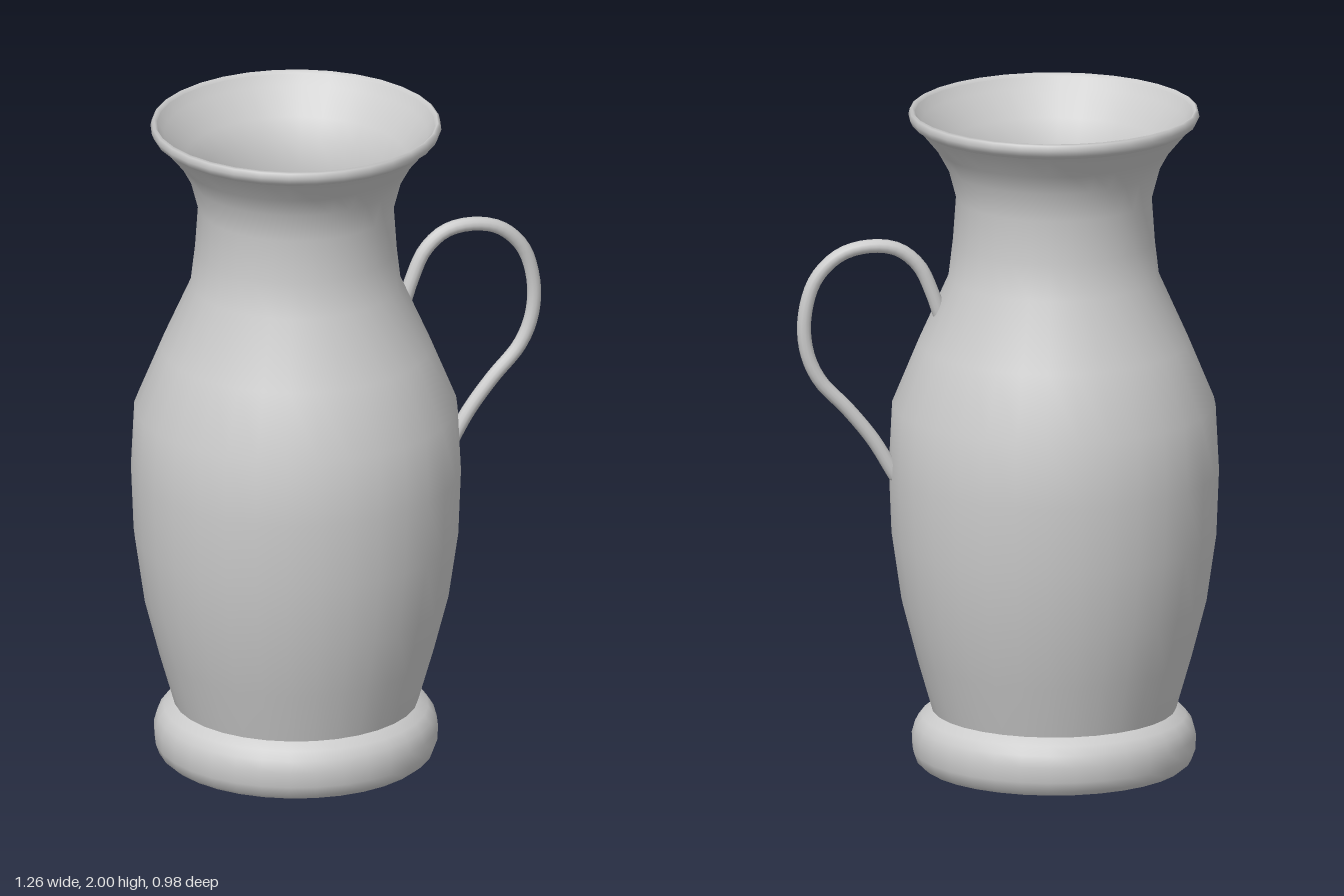
import * as THREE from 'three';

const AXIS_X = -0.142;
const SIDES = 32;
const material = new THREE.MeshStandardMaterial({ color: 0xcccccc });

// Surface of revolution about the jug's axis; profile is [radius, height] pairs
function turned(name, profile) {
  const points = profile.map(([r, y]) => new THREE.Vector2(r, y));
  const mesh = new THREE.Mesh(new THREE.LatheGeometry(points, SIDES), material);
  mesh.name = name;
  mesh.position.x = AXIS_X;
  return mesh;
}

export function createModel() {
  const group = new THREE.Group();
  group.name = 'jug';

  // Outer wall from the foot to the flared mouth
  const wall = [
    [0.362, 0.17], [0.408, 0.33], [0.452, 0.5], [0.481, 0.7], [0.489, 0.9], [0.479, 1.1],
    [0.401, 1.29], [0.312, 1.49], [0.299, 1.6], [0.29, 1.73], [0.314, 1.82],
    [0.347, 1.88], [0.405, 1.95],
  ];
  group.add(turned('outerWall', wall));

  // Rounded foot ring and flat underside
  group.add(turned('footRing', [
    [0.39, 0], [0.408, 0.015], [0.419, 0.045], [0.421, 0.09], [0.411, 0.125], [0.392, 0.15], [0.362, 0.17],
  ]));
  group.add(turned('underside', [[0, 0], [0.39, 0]]));

  // Rolled lip
  group.add(turned('lip', [
    [0.405, 1.95], [0.423, 1.962], [0.431, 1.98], [0.427, 1.996], [0.42, 2], [0.412, 1.99],
  ]));

  // Inner wall follows the outer one, then a flat floor
  const inner = wall.slice(0, -1).reverse().map(([r, y]) => [r - 0.018, y + 0.005]);
  group.add(turned('innerWall', [[0.412, 1.99], [0.392, 1.96], ...inner]));
  group.add(turned('floor', [[0.344, 0.175], [0, 0.175]]));

  // Looped handle on the left side
  const path = new THREE.CatmullRomCurve3([
    [0.2, 1.385], [0.222, 1.45], [0.262, 1.535], [0.325, 1.588], [0.41, 1.601], [0.5, 1.577],
    [0.572, 1.505], [0.605, 1.39], [0.598, 1.285], [0.56, 1.198], [0.475, 1.105], [0.4, 1.01], [0.335, 0.9],
  ].map(([x, y]) => new THREE.Vector3(x, y, 0)));
  const handle = new THREE.Mesh(new THREE.TubeGeometry(path, 48, 0.021, 12), material);
  handle.name = 'handle';
  group.add(handle);

  // Rounded handle ends
  for (const t of [0, 1]) {
    const end = new THREE.Mesh(new THREE.SphereGeometry(0.021, 12, 8), material);
    end.name = t === 0 ? 'handleTopEnd' : 'handleBottomEnd';
    end.position.copy(path.getPoint(t));
    group.add(end);
  }

  return group;
}
